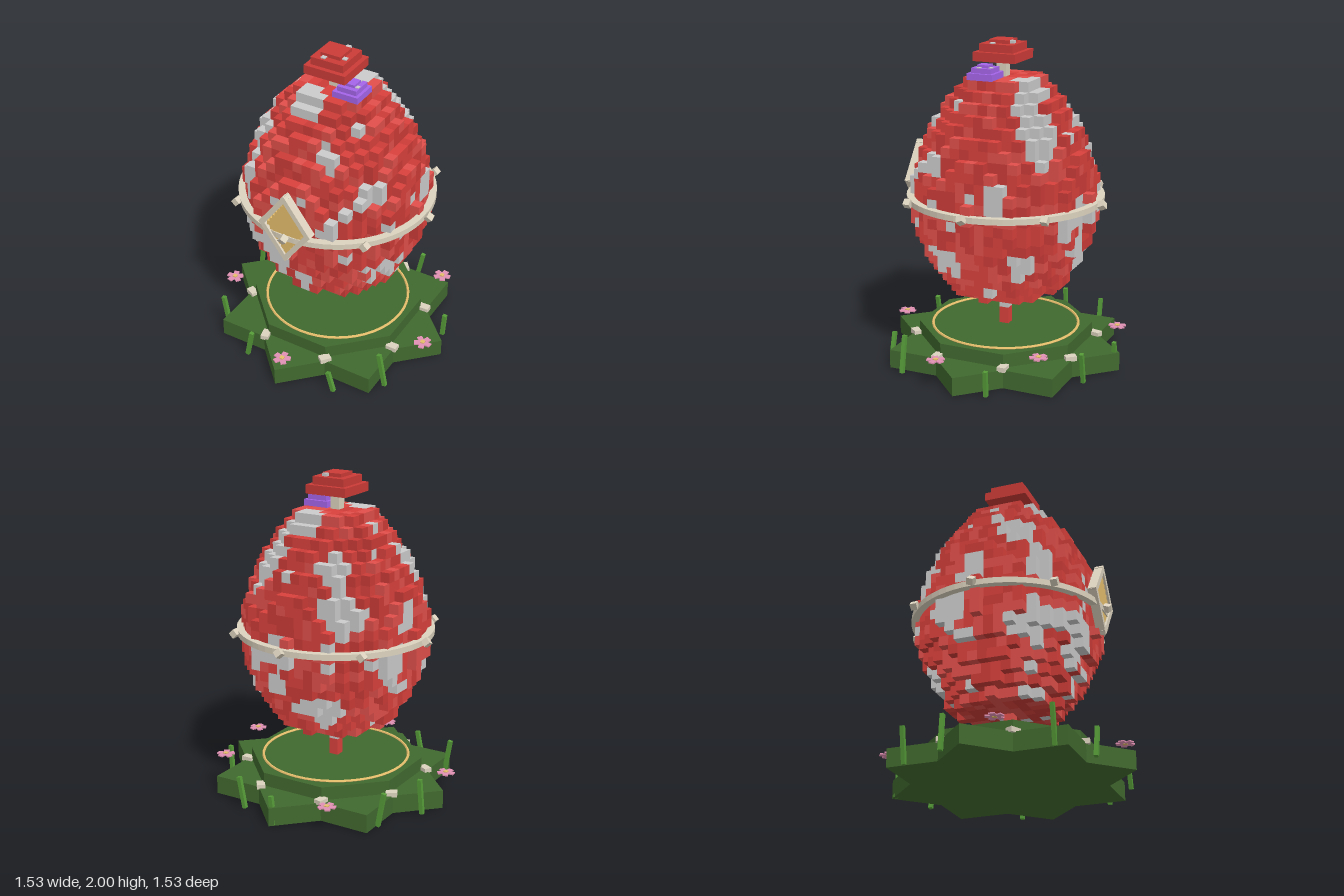
import * as THREE from 'three';
import { mergeGeometries } from 'three/addons/utils/BufferGeometryUtils.js';

const mat = (color) => new THREE.MeshStandardMaterial({ color, flatShading: true });
const GREY = mat(0xcccccc);
const REDS = [0xd9413c, 0xcb3b37, 0xe04f4a].map(mat);
const GREEN = mat(0x41692f), LIGHT_GREEN = mat(0x559a38);
const CREAM = mat(0xdcd2be), GOLD = mat(0xe6be6c), PURPLE = mat(0xa565ea), PINK = mat(0xe291b4);

const CELL = 0.061, EGG_Y = 0.435;
// egg radius in cells for every layer, bottom to top
const RADII = [5, 6.1, 6.8, 7.4, 7.9, 8.3, 8.7, 9, 9, 9, 9, 8.95, 8.7, 8.5, 8.2, 7.8, 7.3, 6.8, 6.2, 5.6, 4.8, 3.8];
// grey patches: x, y, z, half-width, half-height
const PATCHES = [
  [-0.2, 0.87, 0.5, 0.2, 0.08], [-0.12, 0.72, 0.45, 0.13, 0.08], [-0.42, 0.8, 0.3, 0.12, 0.1],
  [-0.38, 1.2, 0.35, 0.08, 0.16], [-0.36, 1.45, 0.2, 0.1, 0.09], [0, 0.55, 0.4, 0.04, 0.12],
  [-0.08, 1.72, 0.18, 0.09, 0.08], [0.13, 1.5, 0.35, 0.07, 0.09], [0.42, 1.3, 0.3, 0.1, 0.07],
  [0.42, 0.72, 0.22, 0.1, 0.1], [0.25, 1.1, 0.48, 0.07, 0.06], [0.22, 1.55, -0.3, 0.12, 0.14],
  [0.3, 1.4, -0.38, 0.1, 0.08], [0.5, 1.15, -0.15, 0.07, 0.08], [0.4, 0.68, -0.28, 0.08, 0.12],
  [0.46, 0.7, 0.15, 0.09, 0.11], [0.12, 1.0, -0.55, 0.14, 0.1], [0.08, 1.7, -0.2, 0.12, 0.09],
  [-0.15, 0.65, -0.42, 0.14, 0.09], [-0.3, 1.25, -0.4, 0.13, 0.12], [-0.5, 0.95, -0.2, 0.1, 0.12],
  [-0.2, 1.5, -0.35, 0.1, 0.1], [-0.48, 1.2, -0.02, 0.08, 0.1], [0.1, 0.8, -0.5, 0.09, 0.07],
];

function hash(i, j, k) {
  const s = Math.sin(i * 12.9898 + j * 78.233 + k * 37.719) * 43758.5453;
  return s - Math.floor(s);
}

function add(parent, name, geometry, material, x = 0, y = 0, z = 0) {
  const m = new THREE.Mesh(geometry, material);
  m.name = name;
  m.position.set(x, y, z);
  parent.add(m);
  return m;
}
const box = (w, h, d) => new THREE.BoxGeometry(w, h, d);

// outer block layer of the egg, one merged mesh per colour
function makeEgg() {
  const egg = new THREE.Group();
  egg.name = 'egg';
  const solid = (i, j, k) => j >= 0 && j < RADII.length && i * i + k * k <= RADII[j] ** 2;
  const isGrey = (x, y, z, h) => h > 0.95 || PATCHES.some(([px, py, pz, w, t]) =>
    ((x - px) ** 2 + (z - pz) ** 2) / (w * w) + ((y - py) / t) ** 2 < 0.85 + h * 0.5);
  const cubes = [[], [], [], []];
  for (let j = 0; j < RADII.length; j++) for (let i = -9; i <= 9; i++) for (let k = -9; k <= 9; k++) {
    if (!solid(i, j, k)) continue;
    const hidden = solid(i - 1, j, k) && solid(i + 1, j, k) && solid(i, j - 1, k) &&
      solid(i, j + 1, k) && solid(i, j, k - 1) && solid(i, j, k + 1);
    if (hidden) continue;
    const x = i * CELL, y = EGG_Y + (j + 0.5) * CELL, z = k * CELL, h = hash(i, j, k);
    const slot = isGrey(x, y, z, h) ? 3 : Math.floor(hash(k, i, j) * 3);
    cubes[slot].push(box(CELL, CELL, CELL).translate(x, y, z));
  }
  cubes.forEach((list, n) => add(egg, n === 3 ? 'greyBlocks' : 'redBlocks' + n, mergeGeometries(list), n === 3 ? GREY : REDS[n]));
  return egg;
}

// stepped cap made of stacked slabs: [half size, bottom, top]
function steppedCap(name, material, slabs, x, z) {
  const g = new THREE.Group();
  g.name = name;
  for (const [r, y0, y1] of slabs) add(g, 'capStep', box(2 * r, y1 - y0, 2 * r), material, x, (y0 + y1) / 2, z);
  return g;
}

function makeFlower(x, y, z, turn) {
  const g = new THREE.Group();
  g.name = 'flower';
  g.position.set(x, y, z);
  for (let n = 0; n < 5; n++) {
    const a = turn + (n * Math.PI * 2) / 5;
    add(g, 'petal', box(0.035, 0.008, 0.04), PINK, Math.sin(a) * 0.034, 0, Math.cos(a) * 0.034).rotation.y = a;
  }
  add(g, 'flowerCentre', box(0.026, 0.014, 0.026), GOLD, 0, 0.002, 0);
  return g;
}

// diamond emblem: four bars around a stepped gold panel
function makeEmblem() {
  const g = new THREE.Group();
  g.name = 'emblem';
  g.position.set(0, 1.1, 0.585);
  const w = 0.155, h = 0.21, len = Math.hypot(w, h);
  for (const sx of [-1, 1]) for (const sy of [-1, 1]) {
    const bar = add(g, 'emblemBar', box(len + 0.03, 0.032, 0.055), CREAM, (sx * w) / 2, (sy * h) / 2, 0);
    bar.rotation.z = -sx * sy * Math.atan2(h, w);
  }
  for (let n = -6; n <= 6; n++) {
    const half = 0.125 - Math.abs(n) * 0.0185;
    add(g, 'emblemPanel', box(2 * half, 0.028, 0.03), GOLD, 0, n * 0.028, 0);
  }
  return g;
}

export function createModel() {
  const model = new THREE.Group();
  model.name = 'blockEgg';

  // eight-pointed grass base with an octagonal step and a gold inlay ring
  const star = new THREE.Shape();
  for (let n = 0; n < 16; n++) {
    const a = (n * Math.PI) / 8, r = n % 2 ? 0.584 : 0.765;
    star[n ? 'lineTo' : 'moveTo'](r * Math.cos(a), r * Math.sin(a));
  }
  star.closePath();
  const base = new THREE.ExtrudeGeometry(star, { depth: 0.115, bevelEnabled: false }).rotateX(-Math.PI / 2);
  add(model, 'starBase', base, GREEN);
  add(model, 'upperBase', new THREE.CylinderGeometry(0.547, 0.547, 0.085, 8).rotateY(Math.PI / 8), GREEN, 0, 0.157, 0);
  add(model, 'inlayRing', new THREE.TorusGeometry(0.46, 0.009, 6, 48).rotateX(Math.PI / 2), GOLD, 0, 0.203, 0);

  // pebbles in the notches of the star
  for (let n = 0; n < 8; n++) {
    const a = ((n + 0.5) * Math.PI) / 4;
    add(model, 'pebble', box(0.07, 0.03, 0.05), CREAM, 0.57 * Math.cos(a), 0.124, 0.57 * Math.sin(a)).rotation.y = n * 0.9;
  }

  // grass blades: x, z, height, lean in x
  const blades = [[0.285, -0.63, 0.2, 0.04], [-0.57, -0.425, 0.22, -0.04], [-0.685, -0.14, 0.22, 0.02],
    [0.69, -0.18, 0.16, 0.01], [-0.56, 0.465, 0.24, -0.04], [0.57, 0.43, 0.235, -0.045],
    [-0.28, 0.62, 0.19, 0.04], [0.325, 0.635, 0.14, -0.04], [-0.005, -0.73, 0.18, 0.02]];
  for (const [x, z, h, lean] of blades) {
    add(model, 'grassBlade', box(0.026, h, 0.024), LIGHT_GREEN, x, h / 2, z).rotation.z = -Math.atan2(lean, h);
  }

  const flowers = [[-0.325, 0.155, -0.635], [0.535, 0.235, -0.45], [-0.695, 0.155, 0.175], [0.7, 0.18, 0.14], [0.015, 0.17, 0.7]];
  flowers.forEach(([x, y, z], n) => model.add(makeFlower(x, y, z, n * 0.5)));

  // stem under the egg
  [[0.2, 0.305], [0.305, 0.37], [0.37, 0.44]].forEach(([y0, y1], n) =>
    add(model, 'stem', box(CELL, y1 - y0, CELL), n === 1 ? GREY : REDS[n], 0, (y0 + y1) / 2, 0));

  model.add(makeEgg());

  // belt with eight studs
  const ring = new THREE.Shape().absarc(0, 0, 0.61, 0, Math.PI * 2);
  ring.holes.push(new THREE.Path().absarc(0, 0, 0.565, 0, Math.PI * 2, true));
  const belt = new THREE.ExtrudeGeometry(ring, { depth: 0.036, bevelEnabled: false, curveSegments: 32 });
  add(model, 'belt', belt.rotateX(-Math.PI / 2), CREAM, 0, 1.018, 0);
  for (let n = 0; n < 8; n++) {
    const a = (n * Math.PI) / 4, r = n === 2 ? 0.625 : 0.63;
    const stud = add(model, 'beltStud', box(0.042, 0.042, 0.042), CREAM, r * Math.cos(a), 1.04, r * Math.sin(a));
    stud.rotation.set(n % 2 ? 0 : 0.4, 0, Math.PI / 4);
  }

  model.add(makeEmblem());

  // red mushroom on top
  add(model, 'mushroomStalk', box(0.06, 0.11, 0.06), CREAM, 0, 1.825, 0.017);
  model.add(steppedCap('mushroomCap', REDS[1], [[0.137, 1.875, 1.93], [0.108, 1.93, 1.978], [0.065, 1.978, 2]], 0, 0.017));
  for (const [x, y, z] of [[0.035, 1.99, -0.06], [0.078, 1.975, 0.05], [-0.035, 1.975, 0.095]]) {
    add(model, 'capSpot', box(0.03, 0.018, 0.03), GREY, x, y, z);
  }

  // small purple mushroom beside it
  model.add(steppedCap('smallCap', PURPLE, [[0.083, 1.775, 1.815], [0.064, 1.815, 1.845], [0.036, 1.845, 1.862]], 0.138, 0.072));
  for (const [x, z] of [[0.16, 0.022], [0.186, 0.09]]) add(model, 'smallCapSpot', box(0.022, 0.014, 0.026), GREY, x, 1.842, z);

  return model;
}
